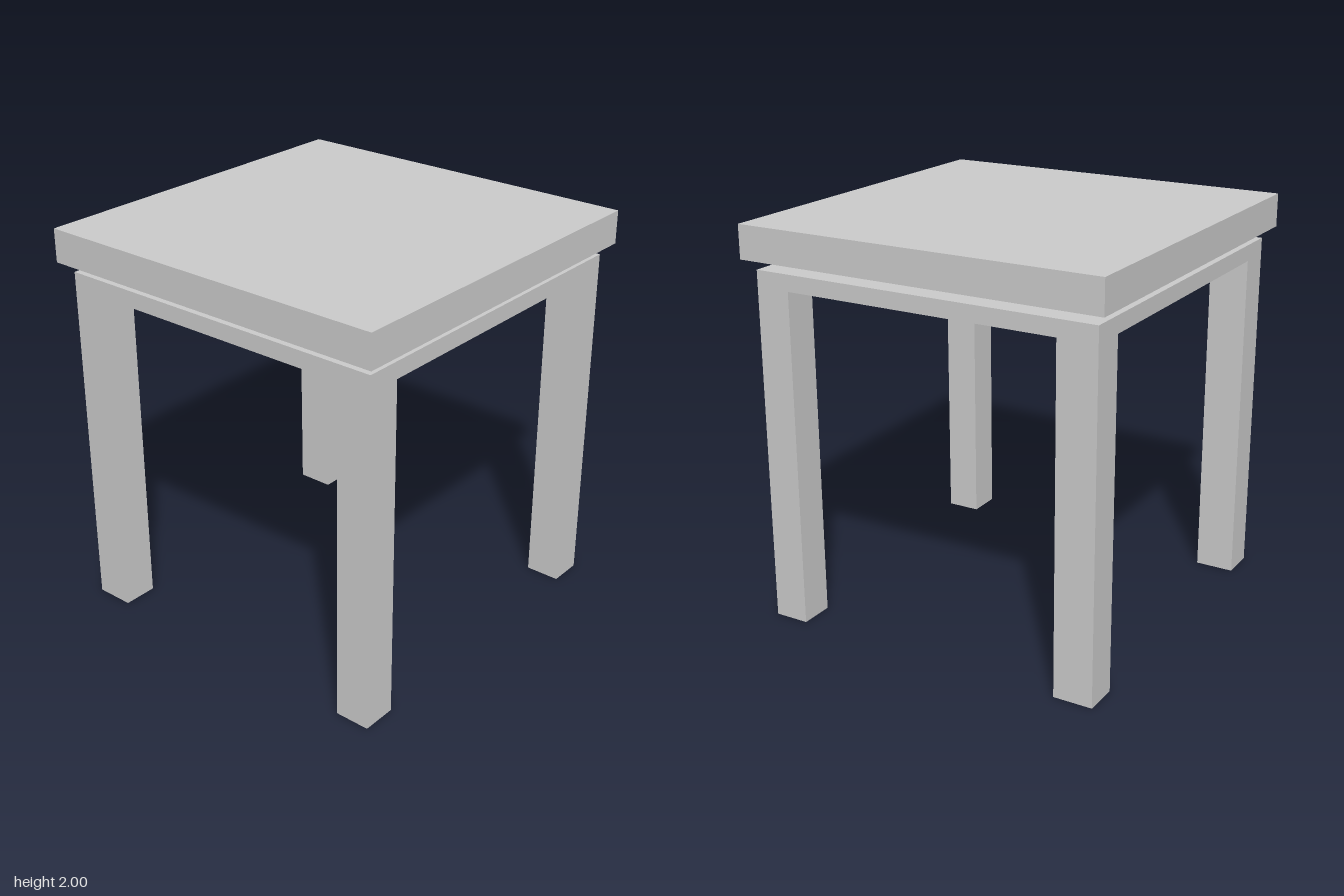
import * as THREE from 'three';

const material = new THREE.MeshStandardMaterial({ color: 0xcccccc, flatShading: true });

// Box given by its [min, max] extents on each axis
function block(name, [x0, x1], [y0, y1], [z0, z1]) {
  const mesh = new THREE.Mesh(new THREE.BoxGeometry(x1 - x0, y1 - y0, z1 - z0), material);
  mesh.position.set((x0 + x1) / 2, (y0 + y1) / 2, (z0 + z1) / 2);
  mesh.name = name;
  return mesh;
}

export function createModel() {
  const table = new THREE.Group();
  table.name = 'table';

  // Overhanging top, recessed spacer and the frame that joins the legs
  table.add(
    block('tableTop', [-0.94, 0.94], [1.833, 2], [-0.945, 0.945]),
    block('spacer', [-0.693, 0.711], [1.78, 1.833], [-0.718, 0.706]),
    block('frame', [-0.89, 0.89], [1.698, 1.78], [-0.893, 0.886]),
  );

  // Four legs, flush with the outer faces of the frame
  const sidesX = { Right: [-0.89, -0.693], Left: [0.713, 0.89] };
  const sidesZ = { front: [0.709, 0.886], back: [-0.893, -0.718] };
  for (const [endName, z] of Object.entries(sidesZ)) {
    for (const [sideName, x] of Object.entries(sidesX)) {
      table.add(block(`${endName}${sideName}Leg`, x, [0, 1.698], z));
    }
  }
  return table;
}
